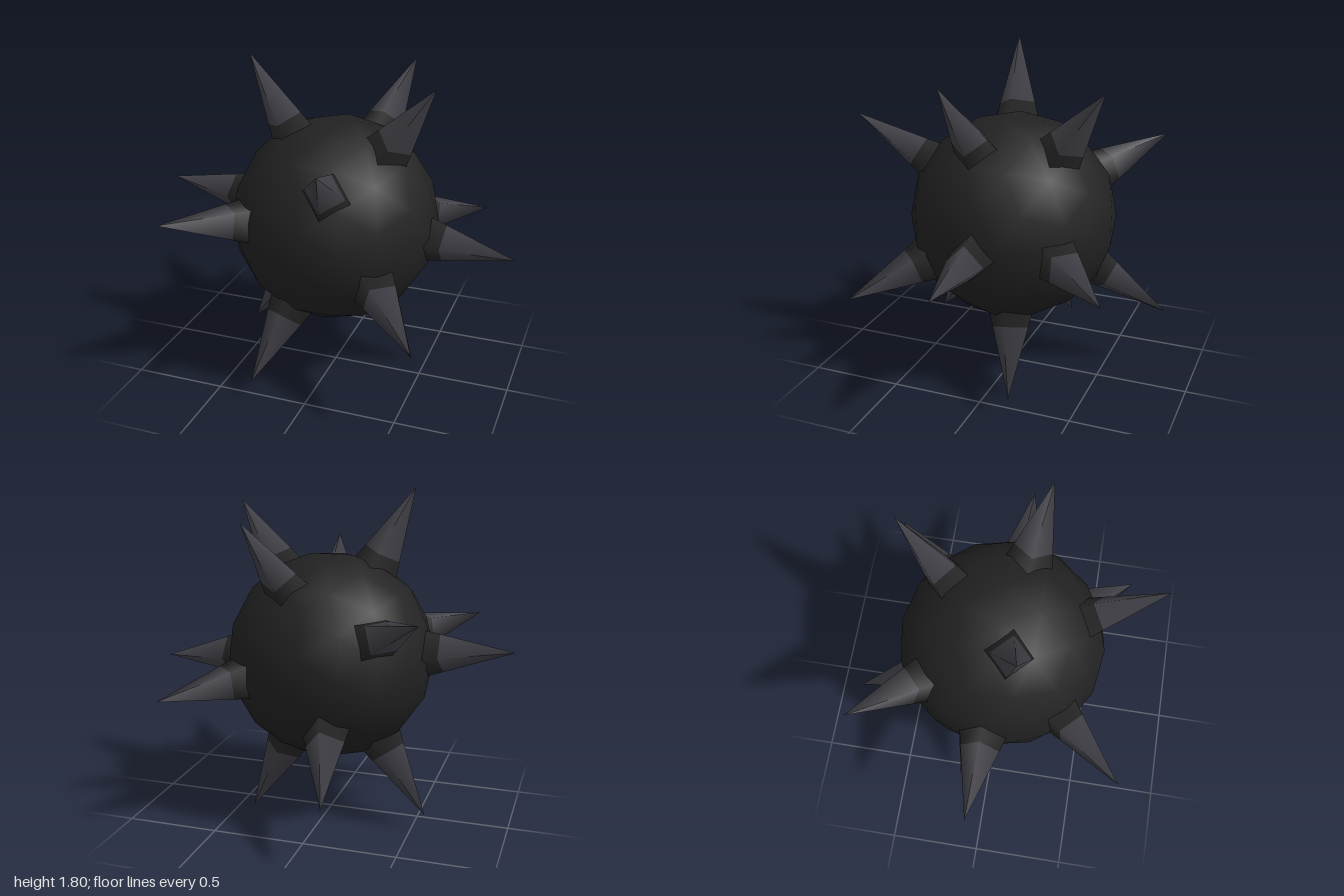
import * as THREE from 'three';

const CENTRE_Y = 0.905;
const BALL_RADIUS = 0.56;
const TIP = 1.0;      // distance of each spike tip from the centre
const BAND = 0.615;   // where the dark collar meets the spike
const ROOT = 0.46;    // collar root, buried in the ball
const TAPER = 0.268;  // spike radius per unit of distance from its tip

// Seven axes, each carrying a spike at both ends
const AXES = [
  [-0.42, 0.895, 0.13],
  [0.57, 0.80, 0.165],
  [0.275, 0.77, -0.57],
  [0.20, 0.535, 0.815],
  [-0.625, 0.36, -0.69],
  [-0.70, 0.125, 0.70],
  [-0.995, 0.095, -0.035],
];

export function createModel() {
  const material = (name, color) => {
    const m = new THREE.MeshStandardMaterial({ color });
    m.name = name;
    return m;
  };
  const ballColour = material('black', 0x222222);
  const collarColour = material('charcoal', 0x262627);
  const spikeColour = material('dark grey', 0x414047);

  const model = new THREE.Group();
  model.name = 'spikedBall';
  const body = new THREE.Group();
  body.name = 'body';
  body.position.y = CENTRE_Y;
  model.add(body);

  // Low-poly ball with smooth normals
  const ball = new THREE.Mesh(new THREE.IcosahedronGeometry(BALL_RADIUS, 2), ballColour);
  ball.name = 'ball';
  body.add(ball);

  // Four-sided collar and point, sharing one straight taper
  const collarGeometry = new THREE.CylinderGeometry(
    (TIP - BAND) * TAPER, (TIP - ROOT) * TAPER, BAND - ROOT, 4, 1, true);
  collarGeometry.translate(0, (BAND + ROOT) / 2, 0);
  const pointGeometry = new THREE.ConeGeometry((TIP - BAND) * TAPER, TIP - BAND, 4, 1);
  pointGeometry.translate(0, (TIP + BAND) / 2, 0);

  const makeSpike = () => {
    const spike = new THREE.Group();
    spike.name = 'spike';
    const collar = new THREE.Mesh(collarGeometry, collarColour);
    collar.name = 'collar';
    const point = new THREE.Mesh(pointGeometry, spikeColour);
    point.name = 'point';
    spike.add(collar, point);
    return spike;
  };

  // Opposite spikes share a frame, the second turned end for end
  const up = new THREE.Vector3(0, 1, 0);
  for (const axis of AXES) {
    const pair = new THREE.Group();
    pair.name = 'spikePair';
    pair.quaternion.setFromUnitVectors(up, new THREE.Vector3(...axis).normalize());
    const upper = makeSpike();
    const lower = makeSpike();
    lower.rotation.x = Math.PI;
    pair.add(upper, lower);
    body.add(pair);
  }
  return model;
}
